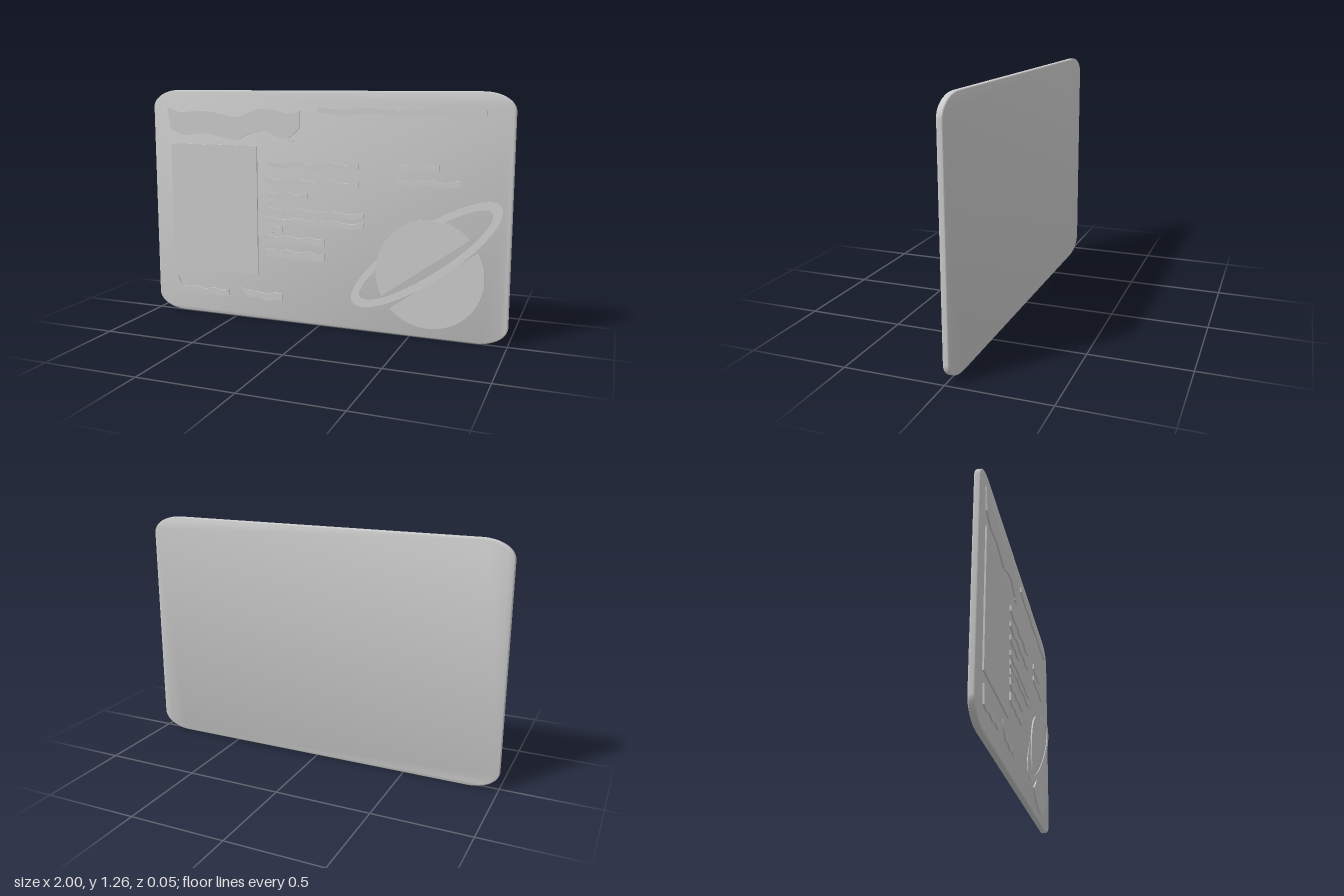
import * as THREE from 'three';
import { toCreasedNormals } from 'three/addons/utils/BufferGeometryUtils.js';

const FRONT = 0.007, BACK = -0.025, RELIEF = 0.015;
const material = new THREE.MeshStandardMaterial({ color: 0xcccccc });

function addMesh(group, name, geometry) {
  const mesh = new THREE.Mesh(toCreasedNormals(geometry, 0.7), material);
  mesh.name = name;
  group.add(mesh);
  return mesh;
}

// Low relief: a flat outline raised slightly above the card face
function addRelief(group, name, shape) {
  const geometry = new THREE.ExtrudeGeometry(shape, { depth: RELIEF, bevelEnabled: false, curveSegments: 64 });
  return addMesh(group, name, geometry);
}

// Rectangle with elliptical corners
function cardShape(w, h, rx, ry) {
  const s = new THREE.Shape();
  const a = w / 2 - rx, b = h / 2 - ry;
  s.absellipse(a, b, rx, ry, 0, Math.PI / 2);
  s.absellipse(-a, b, rx, ry, Math.PI / 2, Math.PI);
  s.absellipse(-a, -b, rx, ry, Math.PI, Math.PI * 1.5);
  s.absellipse(a, -b, rx, ry, Math.PI * 1.5, Math.PI * 2);
  s.closePath();
  return s;
}

// Band between an upper and a lower curve
function bandShape(top, bottom) {
  const curve = (pts) => new THREE.SplineCurve(pts.map(([x, y]) => new THREE.Vector2(x, y))).getPoints(48);
  return new THREE.Shape([...curve(bottom), ...curve(top).reverse()]);
}

// Horizontal band with wavy upper and lower edges
function wavyShape(x0, x1, yLow, yHigh, amp, period) {
  const n = 8 * Math.max(2, Math.ceil((x1 - x0) / period));
  const edge = (y) => Array.from({ length: n + 1 }, (_, i) => {
    const x = x0 + (x1 - x0) * i / n;
    return new THREE.Vector2(x, y + amp * Math.cos((x - x0) / period * Math.PI * 2));
  });
  return new THREE.Shape([...edge(yLow), ...edge(yHigh).reverse()]);
}

export function createModel() {
  const model = new THREE.Group();

  // Card with softly rounded rim
  const bevel = 0.007;
  const card = new THREE.ExtrudeGeometry(cardShape(2 - 2 * bevel, 1.26 - 2 * bevel, 0.155, 0.09), {
    depth: FRONT - BACK - 2 * bevel, bevelSize: bevel, bevelThickness: bevel, bevelSegments: 4, curveSegments: 16,
  });
  card.translate(0, 0.63, BACK + bevel);
  addMesh(model, 'card', card);

  // Picture panel
  const panel = new THREE.BoxGeometry(0.53, 0.712, RELIEF);
  panel.translate(-0.625, 0.608, RELIEF / 2);
  addMesh(model, 'picturePanel', panel);

  // Large wavy heading
  addRelief(model, 'headingBand', bandShape(
    [[-0.91, 1.165], [-0.82, 1.14], [-0.7, 1.148], [-0.577, 1.135], [-0.47, 1.118],
      [-0.35, 1.16], [-0.253, 1.158], [-0.17, 1.14], [-0.108, 1.155]],
    [[-0.89, 1.046], [-0.8, 1.012], [-0.685, 1.024], [-0.577, 1.009], [-0.485, 0.995],
      [-0.4, 1.026], [-0.307, 1.042], [-0.226, 1.012], [-0.17, 1.015], [-0.108, 1.066]]));

  // Wavy lines: x start, x end, lower y, upper y, amplitude, period
  const lines = [
    [-0.01, 0.863, 1.14, 1.17, 0.005, 0.29],
    [-0.19, -0.145, 0.99, 0.997, 0.002, 0.04],
    [-0.307, 0.216, 0.853, 0.883, 0.007, 0.18],
    [-0.307, 0.216, 0.763, 0.789, 0.007, 0.18],
    [-0.307, -0.065, 0.688, 0.714, 0.006, 0.12],
    [-0.307, 0.248, 0.601, 0.629, 0.006, 0.19],
    [-0.307, 0.248, 0.548, 0.576, 0.006, 0.19],
    [-0.307, -0.21, 0.496, 0.529, 0.005, 0.05],
    [-0.307, 0.032, 0.441, 0.48, 0.006, 0.12],
    [-0.307, 0.032, 0.358, 0.4, 0.006, 0.12],
    [0.41, 0.64, 0.863, 0.895, 0.006, 0.115],
    [0.41, 0.75, 0.789, 0.816, 0.006, 0.17],
  ];
  lines.forEach(([x0, x1, lo, hi, amp, period], i) => {
    addRelief(model, 'wavyLine' + (i + 1), wavyShape(x0, x1, lo, hi, amp, period));
  });

  // Two flourished lines along the bottom, tall at their left ends
  addRelief(model, 'lowerLineRight', bandShape(
    [[-0.873, 0.2], [-0.836, 0.145], [-0.76, 0.152], [-0.7, 0.14], [-0.64, 0.152], [-0.59, 0.142], [-0.545, 0.15]],
    [[-0.87, 0.11], [-0.82, 0.098], [-0.76, 0.112], [-0.7, 0.1], [-0.64, 0.113], [-0.59, 0.105], [-0.545, 0.118]]));
  addRelief(model, 'lowerLineLeft', bandShape(
    [[-0.474, 0.2], [-0.43, 0.16], [-0.36, 0.155], [-0.31, 0.148], [-0.26, 0.158], [-0.216, 0.155]],
    [[-0.46, 0.155], [-0.41, 0.12], [-0.36, 0.125], [-0.31, 0.108], [-0.26, 0.118], [-0.216, 0.115]]));

  // Planet emblem: two disc halves parted by a slanted gap
  const tilt = 0.63, radius = 0.282, gap = Math.asin(0.039 / radius);
  const planet = new THREE.Group();
  planet.name = 'planetEmblem';
  for (const [name, turn] of [['upperHalf', 0], ['lowerHalf', Math.PI]]) {
    const half = new THREE.Shape();
    half.absarc(0, 0, radius, gap, Math.PI - gap);
    half.closePath();
    const mesh = addRelief(planet, name, half);
    mesh.rotation.z = tilt + turn;
  }
  planet.position.set(0.598, 0.336, 0);
  model.add(planet);

  // Leaning ring whose far side sinks into the card
  const ringShape = new THREE.Shape();
  ringShape.absellipse(0, 0, 0.47, 0.133, 0, Math.PI * 2);
  const hole = new THREE.Path();
  hole.absellipse(0, 0, 0.415, 0.097, 0, Math.PI * 2, true);
  ringShape.holes.push(hole);
  const ring = new THREE.ExtrudeGeometry(ringShape, { depth: 0.004, bevelEnabled: false, curveSegments: 64 });
  const p = ring.attributes.position;
  for (let i = 0; i < p.count; i++) p.setZ(i, p.getZ(i) + 0.012 - 0.009 * p.getY(i) / 0.133);
  ring.rotateZ(tilt);
  ring.translate(0.57, 0.43, 0);
  addMesh(model, 'planetRing', ring);

  return model;
}
